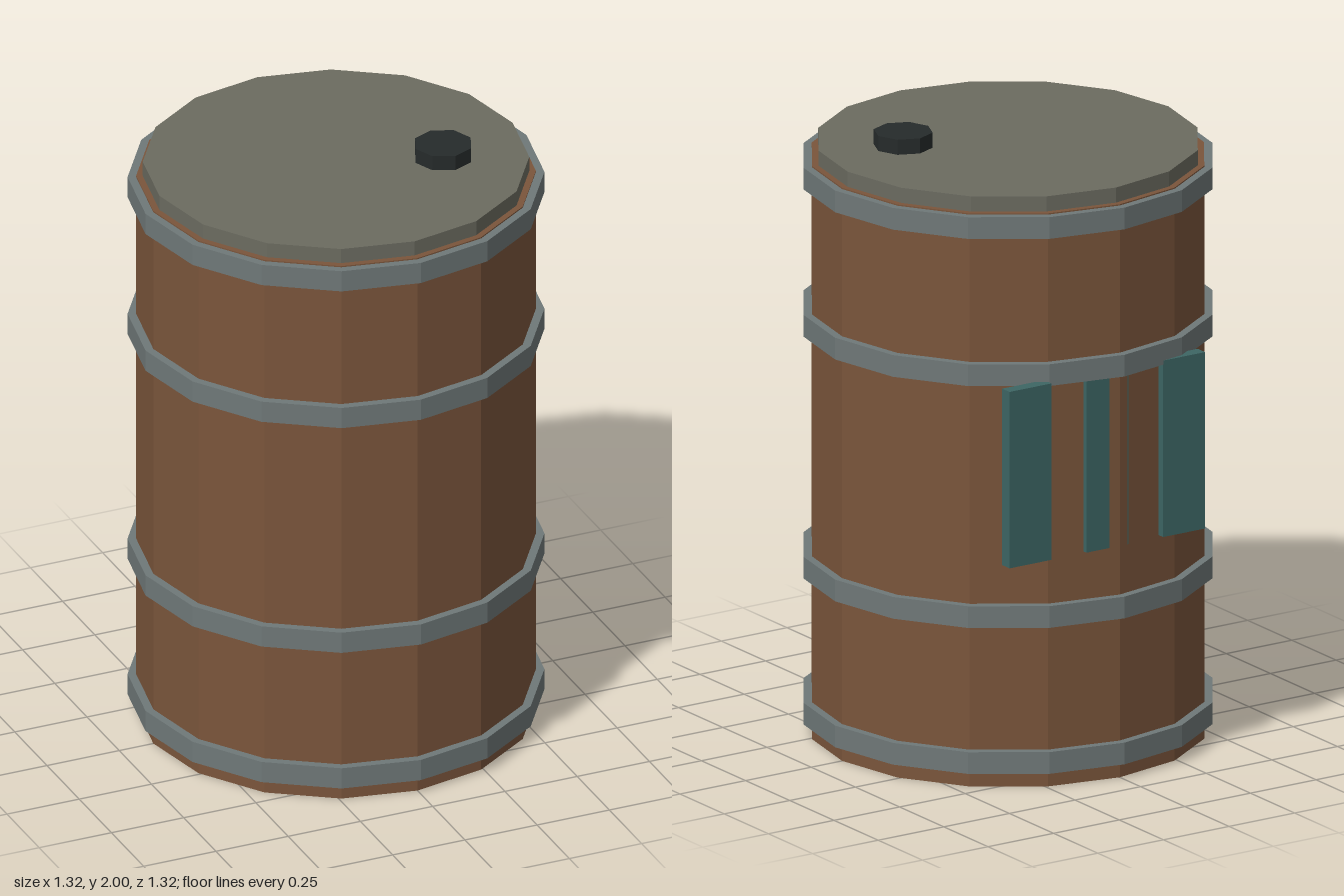
import * as THREE from 'three';

const paint = (color) => new THREE.MeshStandardMaterial({ color, flatShading: true });

export function createModel() {
  const barrel = new THREE.Group();
  barrel.name = 'barrel';
  const brown = paint(0x7a553b), steel = paint(0x6f7878), olive = paint(0x6b6b60);
  const black = paint(0x262b2b), teal = paint(0x3d6664);

  const add = (name, geometry, material, x, y, z) => {
    const mesh = new THREE.Mesh(geometry, material);
    mesh.name = name;
    mesh.position.set(x, y, z);
    barrel.add(mesh);
  };
  // Upright prism between two heights
  const drum = (name, radius, sides, y0, y1, material, x = 0, z = 0) =>
    add(name, new THREE.CylinderGeometry(radius, radius, y1 - y0, sides), material, x, (y0 + y1) / 2, z);

  drum('body', 0.632, 16, 0, 1.9, brown);
  drum('lid', 0.611, 16, 1.89, 1.95, olive);
  drum('fillerCap', 0.095, 8, 1.94, 2, black, 0.315, 0.125);

  // Hoops round the body
  [0.086, 0.57, 1.372, 1.86].forEach((y, i) =>
    drum(`hoop${i + 1}`, 0.659, 16, y - 0.036, y + 0.036, steel));

  // Three upright plates on the back, the middle one partly sunk in
  [-0.25, 0.0425, 0.335].forEach((x, i) =>
    add(`backPlate${i + 1}`, new THREE.BoxGeometry(0.16, 0.585, 0.042), teal, x, 1.057, -0.604));

  return barrel;
}
